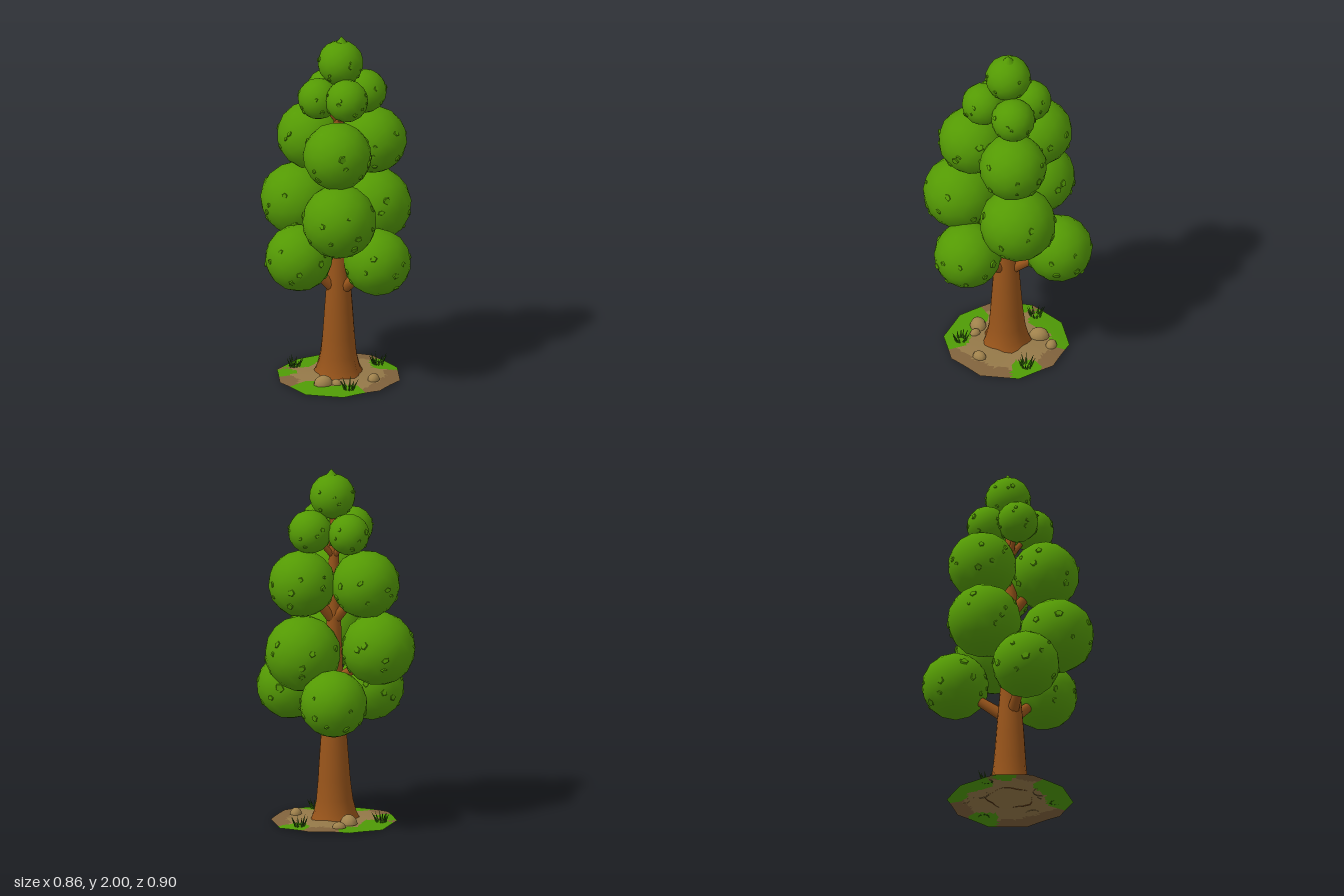
import * as THREE from 'three';

const mat = (name, color, side = THREE.FrontSide) => {
  const m = new THREE.MeshStandardMaterial({ color, side });
  m.name = name;
  return m;
};

export function createModel() {
  const tree = new THREE.Group();
  tree.name = 'tree';

  const foliage = mat('foliage green', 0x549a04);
  const bark = mat('bark brown', 0x98541a, THREE.DoubleSide);
  const dirt = mat('dirt tan', 0x947848, THREE.DoubleSide);
  const soil = mat('soil brown', 0x80623c, THREE.DoubleSide);
  const moss = mat('moss green', 0x4f9a06, THREE.DoubleSide);
  const stone = mat('stone tan', 0xa0824c, THREE.DoubleSide);
  const blade = mat('grass green', 0x2f6408);

  let seed = 7;
  const rand = () => (seed = (seed * 16807) % 2147483647) / 2147483647;
  const UP = new THREE.Vector3(0, 1, 0);

  const add = (name, geometry, material, parent = tree) => {
    const mesh = new THREE.Mesh(geometry, material);
    mesh.name = name;
    parent.add(mesh);
    return mesh;
  };

  // Trunk: lathed taper with fluted roots at the base
  const profile = [
    [0.13, 0.024], [0.115, 0.06], [0.1, 0.13], [0.09, 0.24], [0.079, 0.4], [0.07, 0.52],
    [0.058, 0.65], [0.052, 0.8], [0.042, 1.05], [0.036, 1.3], [0.028, 1.5], [0.018, 1.78],
  ].map(([r, y]) => new THREE.Vector2(r, y));
  const trunk = new THREE.LatheGeometry(profile, 20);
  const tp = trunk.attributes.position;
  for (let i = 0; i < tp.count; i++) {
    const x = tp.getX(i), y = tp.getY(i), z = tp.getZ(i);
    const flute = 1 + 0.1 * Math.max(0, 1 - y / 0.3) * Math.cos(5 * Math.atan2(z, x));
    tp.setXYZ(i, x * flute, y, z * flute);
  }
  add('trunk', trunk, bark);

  // Foliage balls: x, y, z, radius, height where the branch leaves the trunk
  const balls = [
    [-0.24, 0.735, 0.005, 0.187, 0.5], [0.13, 0.74, 0.245, 0.187, 0.5], [0.165, 0.735, -0.262, 0.187, 0.5],
    [-0.16, 1.0, -0.21, 0.205, 0.78], [-0.095, 1.01, 0.24, 0.208, 0.78], [0.215, 0.98, -0.02, 0.212, 0.78],
    [-0.085, 1.37, -0.195, 0.19, 1.14], [-0.08, 1.37, 0.175, 0.19, 1.14], [0.205, 1.37, 0.005, 0.187, 1.14],
    [-0.12, 1.655, 0, 0.115, 1.5], [0.158, 1.66, -0.005, 0.122, 1.5],
    [-0.01, 1.65, -0.138, 0.115, 1.5], [-0.005, 1.67, 0.13, 0.119, 1.5],
    [0.014, 1.845, -0.006, 0.127, 0],
  ];
  const chipGeo = new THREE.CylinderGeometry(0.016, 0.019, 0.009, 5);

  balls.forEach(([x, y, z, r, from], n) => {
    const cluster = new THREE.Group();
    cluster.name = 'foliageCluster' + (n + 1);
    cluster.position.set(x, y, z);
    tree.add(cluster);
    const ball = add('foliageBall', new THREE.IcosahedronGeometry(r, 2), foliage, cluster);
    ball.rotation.set(rand() * 3, rand() * 3, rand() * 3);

    // Small leaf chips scattered around the sides of each ball
    const count = r > 0.15 ? 16 : 14;
    for (let i = 0; i < count; i++) {
      const h = -0.65 + 1.1 * ((i * 0.755 + 0.2 * rand()) % 1);
      const a = i * 3.58 + n + 0.5 * rand();
      const s = Math.sqrt(1 - h * h);
      const dir = new THREE.Vector3(s * Math.cos(a), h, s * Math.sin(a));
      const chip = add('leaf', chipGeo, foliage, cluster);
      chip.position.copy(dir).multiplyScalar(r * 0.99);
      dir.x += (rand() - 0.5) * 0.5;
      dir.y += (rand() - 0.5) * 0.5;
      chip.quaternion.setFromUnitVectors(UP, dir.normalize());
      const k = (0.7 + 0.6 * rand()) * (r > 0.15 ? 1 : 0.65);
      chip.scale.set(k, 1, k * (0.6 + 0.6 * rand()));
    }

    // Branch reaching from the trunk into the ball
    if (from) {
      const start = new THREE.Vector3(0, from, 0);
      const d = new THREE.Vector3(x, y, z).sub(start);
      const len = d.length();
      const w = from < 0.6 ? 0.031 : from < 1.2 ? 0.027 : 0.015;
      const branch = add('branch', new THREE.CylinderGeometry(w * 0.6, w * 1.2, len, 10), bark);
      branch.position.copy(start).addScaledVector(d, 0.5);
      branch.quaternion.setFromUnitVectors(UP, d.normalize());
    }
  });

  // Pointed tip of the crown
  add('crownTip', new THREE.ConeGeometry(0.048, 0.055, 12), foliage).position.set(0.02, 1.9725, -0.006);

  // Ground: low ten-sided mound
  const R = 0.35;
  const groundHeight = (x, z) => {
    const rad = Math.hypot(x, z) / R;
    return 0.007 + 0.022 * (1 - rad * rad) - 0.006 * rad * Math.sin(3 * Math.atan2(z, x) + 1);
  };
  const ground = new THREE.RingGeometry(0.001, 1, 80, 16).rotateX(-Math.PI / 2);
  const gp = ground.attributes.position;
  const side = Math.PI / 5;
  for (let i = 0; i < gp.count; i++) {
    const a = Math.atan2(gp.getZ(i), gp.getX(i)) + Math.PI;
    const edge = R * Math.cos(side / 2) / Math.cos((a % side) - side / 2);
    const x = gp.getX(i) * edge, z = gp.getZ(i) * edge;
    gp.setXYZ(i, x, groundHeight(x, z), z);
  }
  ground.computeVertexNormals();

  // Moss patches along the rim (x, z, radius), darker soil between them, tan dirt inside
  const patches = [
    [-0.08, 0.29, 0.11], [-0.25, 0.19, 0.13], [-0.28, -0.13, 0.07],
    [-0.13, -0.28, 0.12], [0.06, -0.33, 0.1], [0.3, -0.05, 0.09],
  ];
  const zones = [[], [], []];
  const idx = ground.index.array;
  for (let i = 0; i < idx.length; i += 3) {
    const t = [idx[i], idx[i + 1], idx[i + 2]];
    const x = t.reduce((s, v) => s + gp.getX(v), 0) / 3;
    const z = t.reduce((s, v) => s + gp.getZ(v), 0) / 3;
    const wave = 0.012 * Math.sin(40 * x) * Math.cos(35 * z);
    const mossy = patches.some(([px, pz, pr]) => Math.hypot(x - px, z - pz) < pr + wave);
    const outer = Math.hypot(x, z) + 2 * wave > 0.26;
    zones[mossy ? 0 : outer ? 1 : 2].push(...t);
  }
  ground.setIndex(zones.flat());
  zones.reduce((start, list, i) => {
    ground.addGroup(start, list.length, i);
    return start + list.length;
  }, 0);
  add('ground', ground, [moss, soil, dirt]);

  // Rocks: half-buried domes given as x, z, size
  const dome = new THREE.SphereGeometry(1, 10, 5, 0, Math.PI * 2, 0, Math.PI / 2);
  [
    [-0.145, 0.13, 0.05], [0.015, -0.18, 0.052], [0.11, -0.23, 0.034],
    [0.135, 0.18, 0.036], [-0.08, 0.16, 0.028],
  ].forEach(([x, z, s], i) => {
    const rock = add('rock', dome, stone);
    rock.position.set(x, groundHeight(x, z), z);
    rock.scale.set(s * 1.1, s, s * 0.9);
    rock.rotation.y = i * 1.3;
  });

  // Grass tufts: fans of thin blades
  const bladeGeo = new THREE.ConeGeometry(0.007, 0.065, 3).translate(0, 0.0325, 0);
  [[0.26, -0.06], [-0.04, 0.25], [-0.18, -0.2]].forEach(([x, z], t) => {
    const tuft = new THREE.Group();
    tuft.name = 'grassTuft';
    tuft.position.set(x, groundHeight(x, z), z);
    tree.add(tuft);
    for (let i = 0; i < 10; i++) {
      const a = i * 2.4 + t;
      const b = add('grassBlade', bladeGeo, blade, tuft);
      b.position.set(0.024 * Math.cos(a), 0, 0.024 * Math.sin(a));
      b.rotation.set(0.45 * Math.sin(a), 0, -0.45 * Math.cos(a));
      b.scale.y = 0.7 + 0.4 * rand();
    }
  });

  return tree;
}
